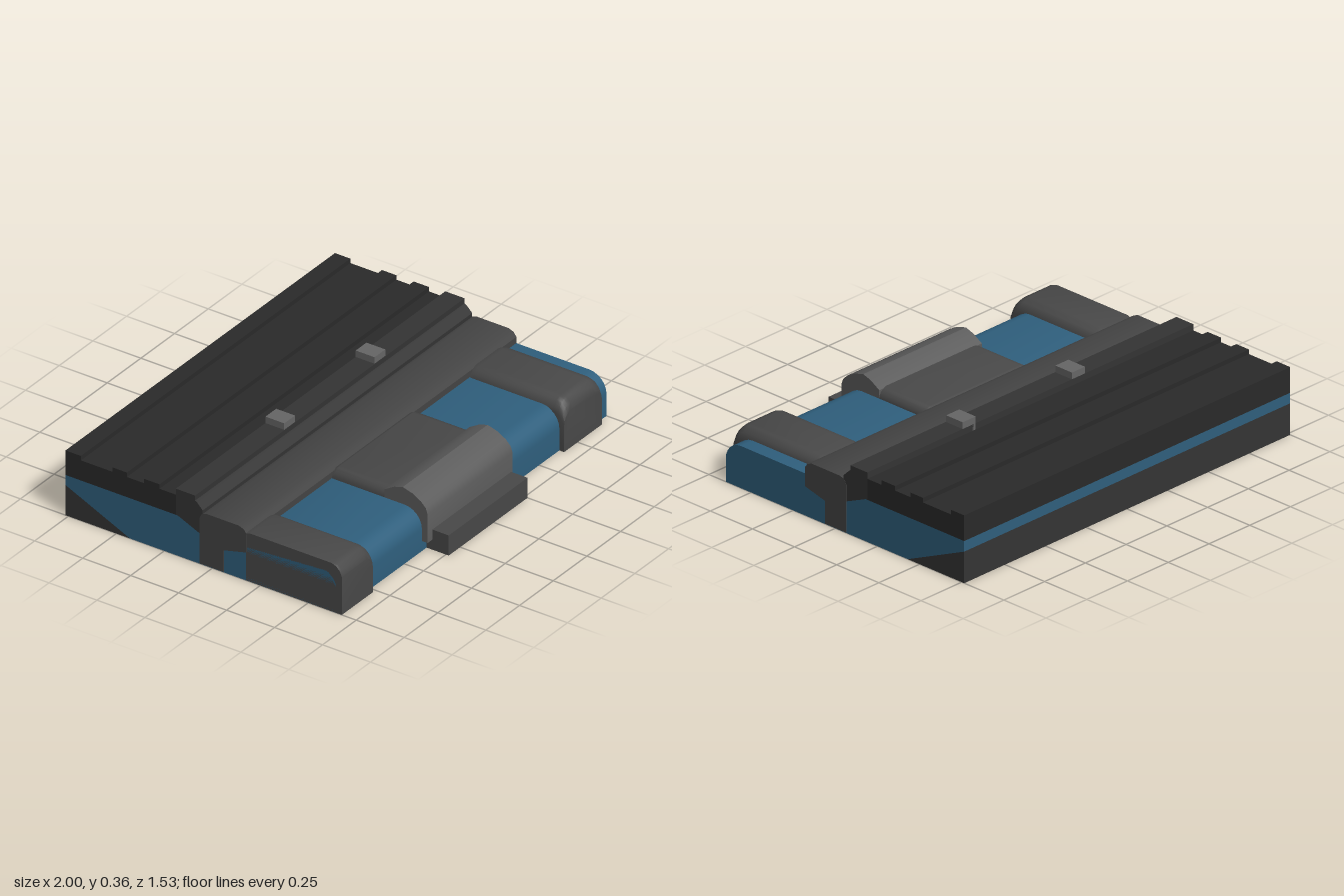
import * as THREE from 'three';
import { toCreasedNormals } from 'three/addons/utils/BufferGeometryUtils.js';
import { ConvexGeometry } from 'three/addons/geometries/ConvexGeometry.js';

const paint = (color) => new THREE.MeshStandardMaterial({ color });
const BLUE = paint(0x2f5f7d), BLACK = paint(0x2a2a2a), COVER = paint(0x343434);
const DARK = paint(0x444444), CLIP = paint(0x484848), BARREL = paint(0x5c5c5c), TAB = paint(0x666666);

export function createModel() {
  const group = new THREE.Group();

  function add(name, geometry, material) {
    const mesh = new THREE.Mesh(geometry, material);
    mesh.name = name;
    group.add(mesh);
    return mesh;
  }

  function box(name, x0, x1, y0, y1, z0, z1, material) {
    const g = new THREE.BoxGeometry(x1 - x0, y1 - y0, z1 - z0);
    g.translate((x0 + x1) / 2, (y0 + y1) / 2, (z0 + z1) / 2);
    return add(name, g, material);
  }

  // A side profile of [z, y] points swept along x
  function sweep(name, points, x0, x1, material) {
    const shape = new THREE.Shape(points.map(([z, y]) => new THREE.Vector2(-z, y)));
    const g = new THREE.ExtrudeGeometry(shape, { depth: x1 - x0, bevelEnabled: false });
    g.rotateY(Math.PI / 2);
    g.translate(x0, 0, 0);
    return add(name, toCreasedNormals(g, 0.5), material);
  }

  // Points on a quarter ellipse from the front face up to the top
  function roundCorner(z, y, rz, ry, steps = 6) {
    return Array.from({ length: steps + 1 }, (_, i) => {
      const a = (i / steps) * Math.PI / 2;
      return [z - rz + rz * Math.cos(a), y - ry + ry * Math.sin(a)];
    });
  }

  // Convex cap: arched sections across x, lowered toward the front edge
  function cap(name, x0, x1, sections, r, limit, material) {
    const points = [];
    for (const [z, h] of sections) {
      for (const [x, s] of [[x0, 1], [x1, -1]]) {
        points.push(new THREE.Vector3(Math.max(x, limit), 0, z));
        for (let i = 0; i <= 5; i++) {
          const a = (i / 5) * Math.PI / 2;
          const px = x + s * r * (1 - Math.cos(a));
          points.push(new THREE.Vector3(Math.max(px, limit), h - r + r * Math.sin(a), z));
        }
      }
    }
    return add(name, toCreasedNormals(new ConvexGeometry(points), 0.5), material);
  }

  // Blue body with a rounded front edge and a sloping rear underside
  sweep('body', [
    [-0.43, 0], [0.65, 0], ...roundCorner(0.65, 0.2, 0.09, 0.09),
    [0.06, 0.2], [-0.065, 0.15], [-0.18, 0.2], [-0.765, 0.2], [-0.765, 0.15],
  ], -1, 1, BLUE);
  sweep('rearWedge', [[-0.43, 0], [-0.765, 0.15], [-0.765, 0]], -1, 1, COVER);

  // Hinge band across the middle, with its ends wrapping down the sides
  const band = [[0.18, 0.14], [0.18, 0.23], [0.165, 0.25], [0.14, 0.26], [-0.03, 0.26], [-0.055, 0.25], [-0.065, 0.23]];
  sweep('hingeBand', [...band, [-0.065, 0.002], [0.06, 0.002], [0.06, 0.11]], -1.001, 1.001, DARK);

  // Stepped front ledge and ribbed rear cover
  sweep('coverLedge', [
    [-0.065, 0.15], [-0.05, 0.2], [-0.05, 0.27], [-0.08, 0.3], [-0.09, 0.305],
    [-0.09, 0.33], [-0.19, 0.33], [-0.19, 0.2], [-0.18, 0.2],
  ], -1, 1, COVER);
  box('rearCover', -1, 1, 0.2, 0.3, -0.765, -0.19, BLACK);
  for (const [z0, z1] of [[-0.355, -0.275], [-0.52, -0.445], [-0.765, -0.685]]) {
    box('coverRib', -1, 1, 0.3, 0.322, z0, z1, BLACK);
  }
  for (const x of [-0.295, 0.375]) {
    box('coverTab', x - 0.04, x + 0.04, 0.3, 0.362, -0.19, -0.092, TAB);
  }

  // Side clips; the one at -x is cut flush with the end
  const clipSections = [[0.175, 0.235], [0.2, 0.243], [0.62, 0.243], [0.645, 0.235], [0.665, 0.215], [0.675, 0.19]];
  cap('sideClip', -1.05, -0.77, clipSections, 0.06, -1, CLIP);
  cap('sideClip', 0.65, 0.93, clipSections, 0.06, -1, CLIP);

  // Centre latch: flat plate, raised barrel and front lip
  cap('latchPlate', -0.37, 0.26, [[0.175, 0.235], [0.19, 0.243], [0.5, 0.243]], 0.045, -1, CLIP);
  sweep('latchBarrel', [
    [0.46, 0.05], [0.68, 0.05], [0.68, 0.19], [0.67, 0.22], [0.645, 0.245],
    [0.6, 0.27], [0.55, 0.284], [0.505, 0.27], [0.455, 0.24],
  ], -0.37, 0.26, BARREL);
  box('latchLip', -0.335, 0.25, 0, 0.1, 0.6, 0.765, CLIP);

  return group;
}
